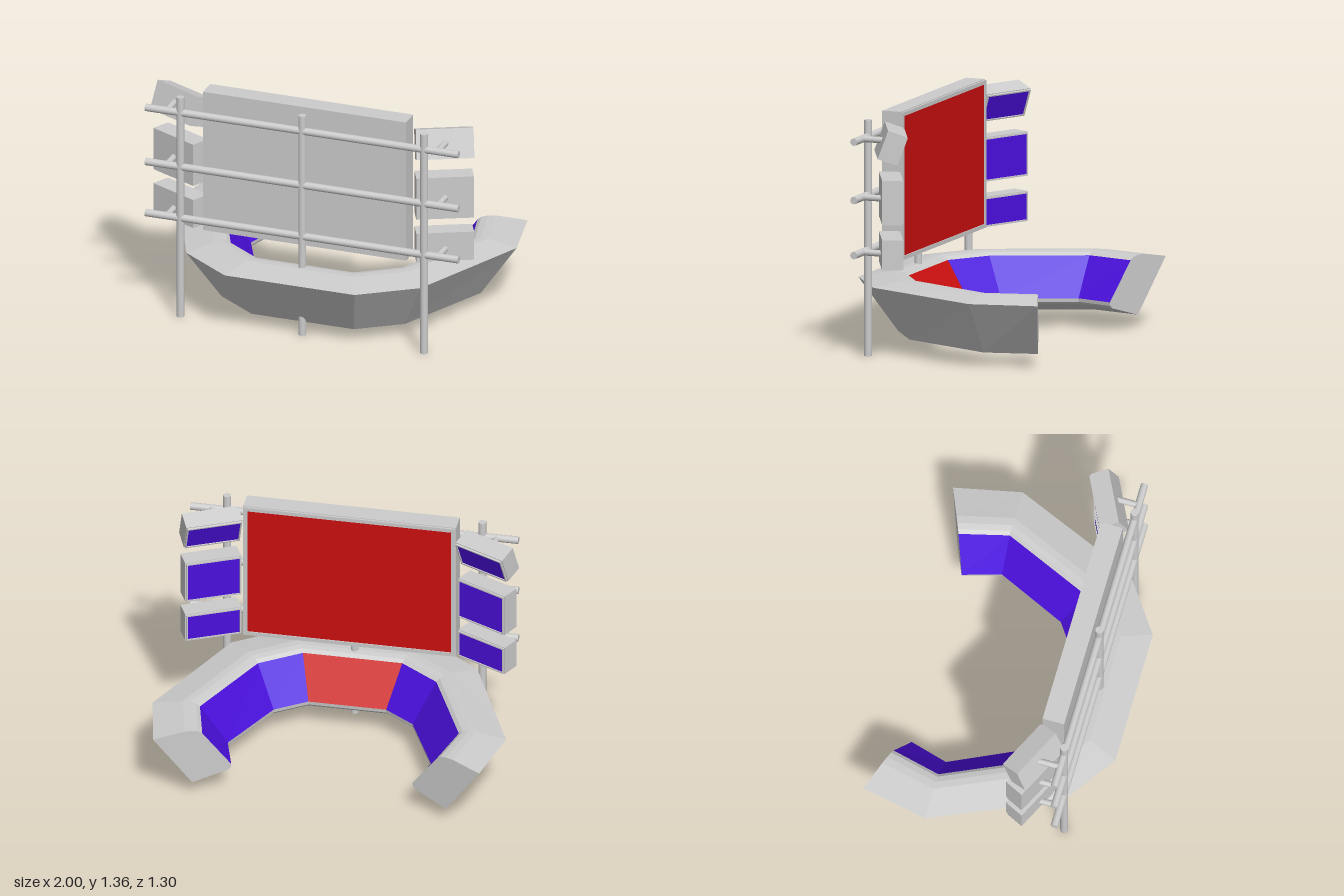
import * as THREE from 'three';

const grey = new THREE.MeshStandardMaterial({ color: 0xcccccc });
const greyFlat = new THREE.MeshStandardMaterial({ color: 0xcccccc, flatShading: true });
const red = new THREE.MeshStandardMaterial({ color: 0xcc0f0f });
const blue = new THREE.MeshStandardMaterial({ color: 0x4a0fdc });

function add(parent, name, geometry, material, x = 0, y = 0, z = 0) {
  const mesh = new THREE.Mesh(geometry, material);
  mesh.name = name;
  mesh.position.set(x, y, z);
  parent.add(mesh);
  return mesh;
}

// Desk stations on the +x side, from the open end to the middle: inner x, z and outer x, z
const half = [
  [0.513, -0.49, 0.922, -0.655],
  [0.575, -0.275, 1.0, -0.275],
  [0.393, 0.115, 0.695, 0.43],
  [0.22, 0.235, 0.385, 0.648],
];
const stations = [...half, ...half.slice().reverse().map(([a, b, c, d]) => [-a, b, -c, d])];

// Desk cross-section: fraction from inner to outer edge, height
const profile = [
  [0, 0.17], [0.37, 0.388], [0.42, 0.404], [0.5, 0.411], [0.6, 0.411],
  [1, 0.38], [0.5, 0.075], [0.04, 0.135], [0.005, 0.15],
];

function deskPoint(i, [t, y]) {
  const [ix, iz, ox, oz] = stations[i];
  return [ix + (ox - ix) * t, y, iz + (oz - iz) * t];
}

function fromTriangles(points) {
  const g = new THREE.BufferGeometry();
  g.setAttribute('position', new THREE.Float32BufferAttribute(points.flat(), 3));
  g.computeVertexNormals();
  return g;
}

function strip(i, p, q) {
  const a = deskPoint(i, p), b = deskPoint(i, q);
  const c = deskPoint(i + 1, q), d = deskPoint(i + 1, p);
  return [a, d, c, a, c, b];
}

function buildDesk() {
  const desk = new THREE.Group();
  desk.name = 'desk';
  const shell = [];
  const n = profile.length, last = stations.length - 1;
  for (let i = 0; i < last; i++) {
    for (let k = 1; k < n; k++) shell.push(...strip(i, profile[k], profile[(k + 1) % n]));
    // sloping control panel on the inner side
    const middle = i === (last - 1) / 2;
    add(desk, middle ? 'centrePanel' : 'sidePanel',
      fromTriangles(strip(i, profile[0], profile[1])), middle ? red : blue);
  }
  // end caps
  const centre = [0.45, 0.25];
  for (let k = 0; k < n; k++) {
    const p = profile[k], q = profile[(k + 1) % n];
    shell.push(deskPoint(0, centre), deskPoint(0, p), deskPoint(0, q));
    shell.push(deskPoint(last, centre), deskPoint(last, q), deskPoint(last, p));
  }
  add(desk, 'deskShell', fromTriangles(shell), greyFlat);
  return desk;
}

function rectangle(Type, w, h) {
  const p = new Type();
  p.moveTo(-w / 2, -h / 2);
  p.lineTo(w / 2, -h / 2);
  p.lineTo(w / 2, h / 2);
  p.lineTo(-w / 2, h / 2);
  p.closePath();
  return p;
}

// Monitor centred on its origin, with a raised rim round a screen facing -z
function monitor(name, w, h, d, border, material) {
  const group = new THREE.Group();
  group.name = name;
  const rim = 0.012;
  add(group, 'casing', new THREE.BoxGeometry(w, h, d - rim), grey, 0, 0, rim / 2);
  const shape = rectangle(THREE.Shape, w - 0.008, h - 0.008);
  shape.holes.push(rectangle(THREE.Path, w - 2 * border, h - 2 * border));
  add(group, 'rim', new THREE.ExtrudeGeometry(shape, { depth: rim, bevelEnabled: false }),
    grey, 0, 0, -d / 2);
  add(group, 'screen', new THREE.BoxGeometry(w - 2 * border, h - 2 * border, 0.006),
    material, 0, 0, -d / 2 + rim - 0.003);
  return group;
}

export function createModel() {
  const model = new THREE.Group();
  model.name = 'controlStation';
  model.add(buildDesk());

  // main wall screen
  const main = monitor('mainScreen', 1.204, 0.838, 0.125, 0.026, red);
  main.position.set(0, 0.944, 0.351);
  model.add(main);

  // support frame: three posts and three rails
  const frame = new THREE.Group();
  frame.name = 'supportFrame';
  model.add(frame);
  for (const x of [-0.722, 0, 0.722]) {
    add(frame, 'post', new THREE.CylinderGeometry(0.022, 0.022, 1.328, 20), grey, x, 0.664, 0.448);
  }
  const rows = [
    { y: 0.595, screenY: 0.61, h: 0.17, pitch: 0 },
    { y: 0.905, screenY: 0.905, h: 0.25, pitch: 0 },
    { y: 1.233, screenY: 1.212, h: 0.17, pitch: -20 },
  ];
  for (const { y, screenY, h, pitch } of rows) {
    const rail = add(frame, 'rail', new THREE.CylinderGeometry(0.021, 0.021, 1.855, 20), grey, 0, y, 0.448);
    rail.rotation.z = Math.PI / 2;
    // angled side monitors on short arms
    for (const side of [-1, 1]) {
      const arm = add(frame, 'monitorArm', new THREE.CylinderGeometry(0.018, 0.018, 0.125, 16),
        grey, side * 0.803, y, 0.385);
      arm.rotation.x = Math.PI / 2;
      const m = monitor('sideMonitor', 0.322, h, 0.118, 0.012, blue);
      m.position.set(side * 0.78, screenY, 0.284);
      m.rotation.set(THREE.MathUtils.degToRad(pitch), side * THREE.MathUtils.degToRad(26), 0, 'YXZ');
      model.add(m);
    }
  }
  return model;
}
